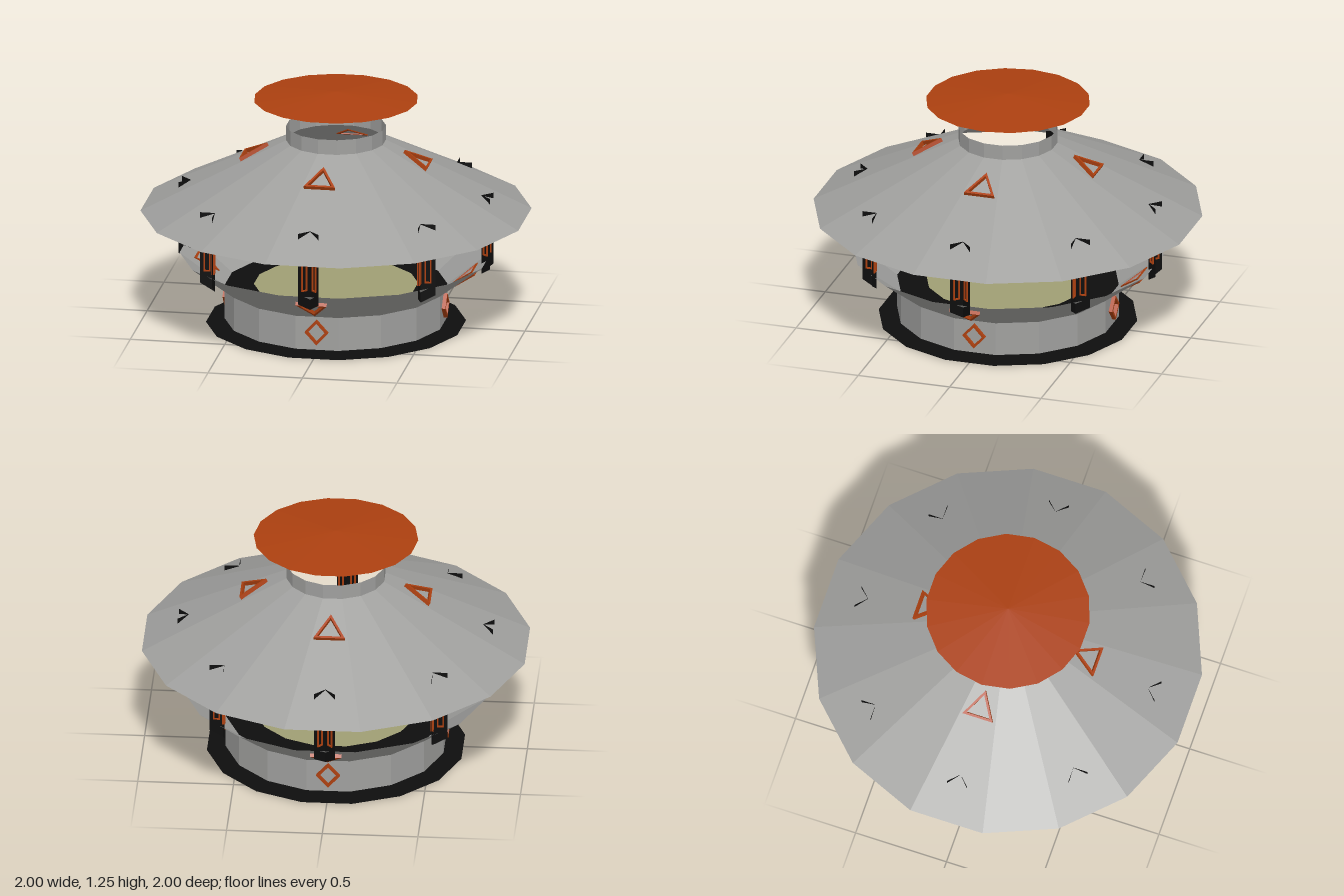
import * as THREE from 'three';

const mat = (name, color, extra = {}) => {
  const m = new THREE.MeshStandardMaterial({ color, flatShading: true, ...extra });
  m.name = name;
  return m;
};

export function createModel() {
  const root = new THREE.Group();
  root.name = 'pavilion';
  const both = { side: THREE.DoubleSide };
  const gray = mat('concrete gray', 0xa0a09e, both);
  const black = mat('black', 0x0e0e0e, both);
  const orange = mat('burnt orange', 0xac4010);
  const khaki = mat('pale khaki', 0xa09e74, both);

  const add = (parent, name, geo, material) => {
    const mesh = new THREE.Mesh(geo, material);
    mesh.name = name;
    parent.add(mesh);
    return mesh;
  };

  // Sixteen-sided shells; radii are measured to the middle of a flat side
  const SIDES = 16, K = 1 / Math.cos(Math.PI / SIDES);
  const shell = (name, rTop, rBottom, y0, y1) => {
    const geo = new THREE.CylinderGeometry(rTop * K, rBottom * K, y1 - y0, SIDES, 1, true);
    geo.rotateY(Math.PI / SIDES).translate(0, (y0 + y1) / 2, 0);
    return add(root, name, geo, gray);
  };
  const disc = (name, r, y, material) => {
    const geo = new THREE.CircleGeometry(r * K, SIDES);
    geo.rotateX(-Math.PI / 2).rotateY(Math.PI / SIDES).translate(0, y, 0);
    return add(root, name, geo, material);
  };

  shell('baseWall', 0.57, 0.57, 0.02, 0.2);
  shell('lowerBowl', 0.8, 0.57, 0.2, 0.38);
  shell('roof', 0.255, 1, 0.61, 0.99);
  shell('roofCollar', 0.255, 0.255, 0.99, 1.07);
  disc('groundPlate', 0.665, 0, black);
  disc('floor', 0.57, 0.2, black);
  disc('floorInset', 0.42, 0.206, khaki);

  // Floating cap
  const cap = add(root, 'cap', new THREE.ConeGeometry(0.43, 0.04, 18), orange);
  cap.rotation.y = Math.PI / 2;
  cap.position.y = 1.235;

  // Hollow frame from an outer and an inner outline
  const frame = (outer, inner, depth, z0) => {
    const vecs = (pts) => pts.map(([x, y]) => new THREE.Vector2(x, y));
    const shape = new THREE.Shape(vecs(outer));
    shape.holes.push(new THREE.Path(vecs(inner)));
    const geo = new THREE.ExtrudeGeometry(shape, { depth, bevelEnabled: false });
    return geo.translate(0, 0, z0);
  };
  const scaled = (pts, s) => pts.map(([x, y]) => [x * s, y * s]);

  // Trim frames on the four main sides
  const triUp = [[-0.083, -0.05], [0.083, -0.05], [0, 0.1]];
  const triDown = scaled(triUp, -1);
  const diamond = [[-0.062, 0], [0, -0.068], [0.062, 0], [0, 0.068]];
  const trims = [
    ['roofTriangle', triUp, 0.76, 0.445, 0.893, -Math.atan2(0.745, 0.38)],
    ['bowlTriangle', triDown, 0.76, 0.697, 0.3, Math.atan2(0.23, 0.18)],
    ['baseDiamond', diamond, 0.74, 0.57, 0.118, 0],
  ];
  for (let i = 0; i < 4; i++) {
    const side = new THREE.Group();
    side.name = 'trimSide';
    side.rotation.y = i * Math.PI / 2;
    root.add(side);
    for (const [name, pts, s, r, y, tilt] of trims) {
      const m = add(side, name, frame(pts, scaled(pts, s), 0.025, -0.005), orange);
      m.position.set(0, y, r);
      m.rotation.x = tilt;
    }
  }

  // Eight V-section pillars, open to the outside, with orange inlays
  const L = 0.078;
  const legShape = new THREE.Shape([[0, 0.3], [L, 0.345], [L, 0.73], [0, 0.73]]
    .map(([x, y]) => new THREE.Vector2(x, y)));
  const legGeo = new THREE.ShapeGeometry(legShape);
  const rect = (w, h) => [[-w, -h], [w, -h], [w, h], [-w, h]];
  const inlayGeo = frame(rect(0.018, 0.125), rect(0.011, 0.118), 0.016, -0.008);
  inlayGeo.translate(0.04, 0.535, 0);
  for (let i = 0; i < 8; i++) {
    const pillar = new THREE.Group();
    pillar.name = 'pillar';
    pillar.rotation.y = i * Math.PI / 4;
    root.add(pillar);
    for (const turn of [-Math.PI / 4, -3 * Math.PI / 4]) {
      const leg = new THREE.Group();
      leg.name = 'pillarLeg';
      leg.position.z = 0.77;
      leg.rotation.y = turn;
      pillar.add(leg);
      add(leg, 'legPanel', legGeo, black);
      add(leg, 'legInlay', inlayGeo, orange);
    }
  }
  return root;
}
